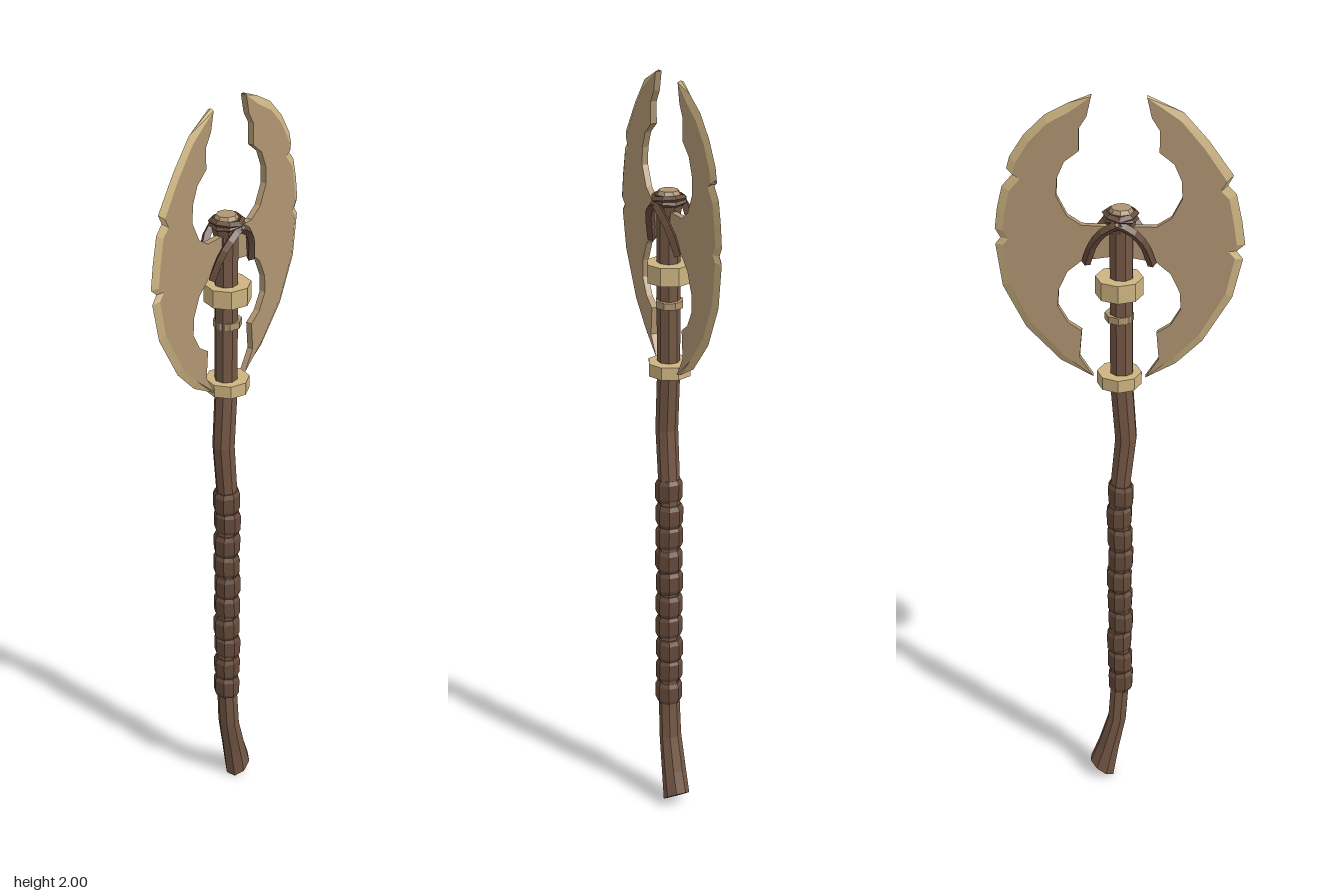
import * as THREE from 'three';

const mat = (name, color, extra = {}) => {
  const m = new THREE.MeshStandardMaterial({ color, flatShading: true, ...extra });
  m.name = name;
  return m;
};

// Column through rings [x, y, rx, rz, slope], listed bottom to top
function column(rings, sides = 8, turn = 0) {
  const n = rings.length - 1;
  const g = new THREE.CylinderGeometry(1, 1, 1, sides, n);
  g.rotateY(turn);
  const p = g.attributes.position;
  for (let i = 0; i < p.count; i++) {
    const [x, y, rx, rz, slope = 0] = rings[Math.round((p.getY(i) + 0.5) * n)];
    const dx = p.getX(i) * rx;
    p.setXYZ(i, x + dx, y + dx * slope, p.getZ(i) * rz);
  }
  g.computeVertexNormals();
  return g;
}

export function createModel() {
  const group = new THREE.Group();
  const wood = mat('wood', 0x755846);
  const leather = mat('leather', 0x654a3a);
  const metal = mat('blade metal', 0xb09672);
  const bright = mat('bright metal', 0xcdb482, { side: THREE.DoubleSide });
  const add = (name, geometry, material) => {
    const m = new THREE.Mesh(geometry, material);
    m.name = name;
    group.add(m);
    return m;
  };

  // Crooked haft with a slanted, flared foot
  const haft = [
    [0.048, 0.026, 0.034, 0.035, 0.75], [0.03, 0.1, 0.03, 0.033, 0.25], [0.006, 0.2, 0.026, 0.03],
    [-0.002, 0.32, 0.026, 0.028], [-0.003, 0.6, 0.026, 0.028], [0, 0.92, 0.027, 0.028],
    [-0.017, 1.09, 0.029, 0.029], [-0.006, 1.24, 0.03, 0.029], [-0.005, 1.69, 0.03, 0.03],
  ];
  add('haft', column(haft, 8, Math.PI / 8), wood);

  // Leather grip bands, alternately tilted
  for (let i = 0; i < 10; i++) {
    const y = 0.332 + i * 0.0655, s = i % 2 ? 0.12 : -0.08, x = -0.002 + (i % 3 - 1) * 0.002;
    add('gripBand', column([
      [x, y - 0.031, 0.029, 0.031, s], [x, y - 0.02, 0.034, 0.036, s],
      [x, y + 0.02, 0.035, 0.036, s], [x, y + 0.031, 0.029, 0.031, s],
    ], 8, Math.PI / 8), leather);
  }

  // Metal collars
  const ring = (name, y0, y1, r, material) =>
    add(name, column([[0, y0, r, r], [0, y1, r, r]]), material);
  ring('upperCollar', 1.49, 1.537, 0.059, bright);
  ring('lowerCollar', 1.245, 1.278, 0.056, bright);
  ring('thinRing', 1.422, 1.44, 0.036, metal);

  // Head of the haft with its cut top
  add('haftHead', column([
    [-0.004, 1.66, 0.031, 0.031], [-0.004, 1.69, 0.038, 0.036], [-0.005, 1.708, 0.034, 0.034],
  ]), wood);
  add('haftTop', column([[-0.005, 1.705, 0.032, 0.032], [-0.005, 1.718, 0.025, 0.025]]), metal);

  // Two crossed bindings round the head
  for (const s of [-1, 1]) {
    const g = new THREE.TorusGeometry(0.037, 0.009, 4, 8);
    g.rotateX(Math.PI / 2);
    g.rotateZ(s * 0.17);
    g.translate(-0.003, 1.697, 0);
    add('headBinding', g, leather);
  }

  // Straps splaying from the head to the blades, front and back
  for (const sx of [-1, 1]) for (const sz of [-1, 1]) {
    const path = new THREE.CatmullRomCurve3([
      [-0.008, 1.69, 0.036], [0.03, 1.672, 0.036], [0.06, 1.635, 0.026], [0.08, 1.576, 0.012],
    ].map(([x, y, z]) => new THREE.Vector3(x * sx, y, z * sz)));
    const strap = add('strap', new THREE.TubeGeometry(path, 6, 0.0115, 4), leather);
    strap.geometry.computeVertexNormals();
  }

  // Blades: chipped outer edge from top tip to bottom tip, per side
  const edges = {
    1: [[0.065, 1.998], [0.12, 1.975], [0.175, 1.945], [0.225, 1.895], [0.26, 1.84], [0.268, 1.81],
      [0.25, 1.8], [0.28, 1.765], [0.293, 1.71], [0.3, 1.655], [0.287, 1.632], [0.3, 1.615],
      [0.285, 1.505], [0.23, 1.395], [0.145, 1.305], [0.065, 1.262]],
    '-1': [[0.065, 1.998], [0.15, 1.958], [0.21, 1.89], [0.27, 1.805], [0.257, 1.78], [0.278, 1.758],
      [0.293, 1.69], [0.302, 1.63], [0.282, 1.612], [0.298, 1.592], [0.275, 1.49], [0.205, 1.37],
      [0.14, 1.305], [0.065, 1.262]],
  };
  // Inner outline from bottom tip back to top tip
  const inner = [[0.098, 1.318], [0.092, 1.39], [0.125, 1.412], [0.15, 1.455], [0.148, 1.5],
    [0.125, 1.55], [0.09, 1.58], [0, 1.595], [0, 1.67], [0.09, 1.672], [0.125, 1.695], [0.15, 1.745],
    [0.148, 1.79], [0.13, 1.832], [0.095, 1.86], [0.095, 1.915], [0.076, 1.945]];
  const t = 0.008;
  for (const s of [1, -1]) {
    const outer = edges[s];
    const inset = outer.map(([x, y], i) => {
      const dx = 0.06 - x, dy = 1.63 - y, l = Math.hypot(dx, dy);
      const d = i === 0 || i === outer.length - 1 ? 0.004 : 0.02;
      return [x + dx / l * d, y + dy / l * d];
    });
    const shape = new THREE.Shape([...inset, ...inner].map(([x, y]) => new THREE.Vector2(x * s, y)));
    const plate = new THREE.ExtrudeGeometry(shape, { depth: 2 * t, bevelEnabled: false });
    plate.translate(0, 0, -t);
    add(s > 0 ? 'leftBlade' : 'rightBlade', plate, metal);

    // Sharpened bevels on both faces
    const v = [];
    for (const f of [1, -1]) for (let i = 0; i + 1 < outer.length; i++) {
      const a = [inset[i][0] * s, inset[i][1], f * t], b = [inset[i + 1][0] * s, inset[i + 1][1], f * t];
      const c = [outer[i + 1][0] * s, outer[i + 1][1], 0], d = [outer[i][0] * s, outer[i][1], 0];
      const q = s * f > 0 ? [a, b, c, a, c, d] : [a, c, b, a, d, c];
      v.push(...q.flat());
    }
    const bevel = new THREE.BufferGeometry();
    bevel.setAttribute('position', new THREE.Float32BufferAttribute(v, 3));
    bevel.computeVertexNormals();
    add(s > 0 ? 'leftEdge' : 'rightEdge', bevel, bright);
  }
  return group;
}
